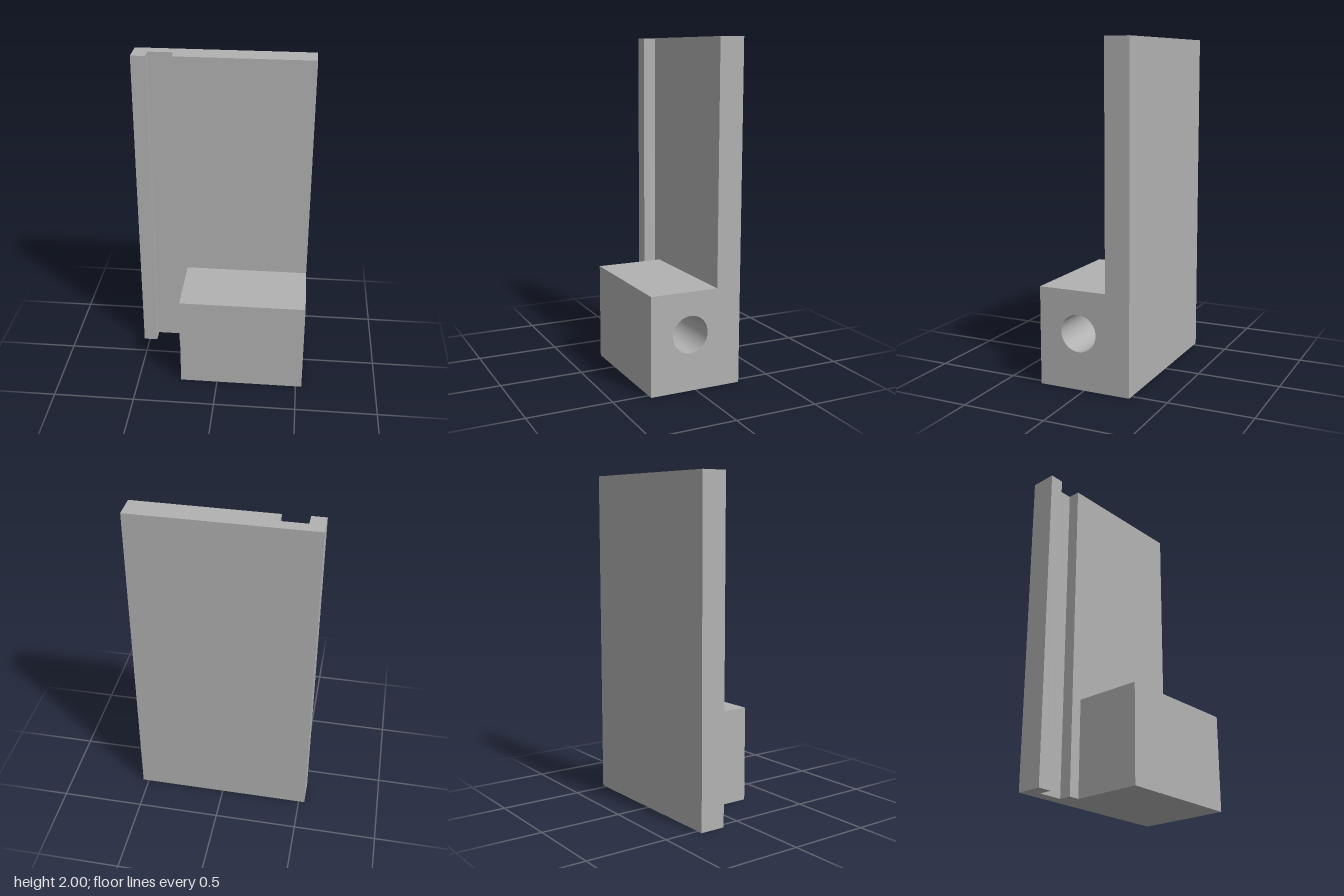
import * as THREE from 'three';

const grey = new THREE.MeshStandardMaterial({ color: 0xb2b2b2 });
grey.name = 'plainGrey';

const W = 0.537, BACK = -0.284, FRONT = 0.282, FACE = -0.135;
const HEIGHT = 2, BLOCK_H = 0.587, BLOCK_X = -0.23;
const HOLE = { y: 0.336, z: 0.035, r: 0.11, depth: 0.55 };

function part(name, geometry) {
  const mesh = new THREE.Mesh(geometry, grey);
  mesh.name = name;
  return mesh;
}

export function createModel() {
  const model = new THREE.Group();
  model.name = 'mountingBracket';

  // Upright plate: plan outline (x, z) with a groove, raised along y
  const outline = [
    [-W, BACK], [W, BACK], [W, FACE], [-0.297, FACE],
    [-0.297, -0.21], [-0.45, -0.21], [-0.45, -0.127], [-W, -0.127],
  ];
  const plan = new THREE.Shape(outline.map(([x, z]) => new THREE.Vector2(x, -z)));
  const plate = new THREE.ExtrudeGeometry(plan, { depth: HEIGHT, bevelEnabled: false });
  plate.rotateX(-Math.PI / 2);
  model.add(part('groovedPlate', plate));

  // Foot block: side outline (-z, y) with a round hole, extruded along x
  const holeEnd = W - HOLE.depth;
  const side = new THREE.Shape([
    new THREE.Vector2(-FRONT, 0), new THREE.Vector2(-FACE, 0),
    new THREE.Vector2(-FACE, BLOCK_H), new THREE.Vector2(-FRONT, BLOCK_H),
  ]);
  side.holes.push(new THREE.Path().absarc(-HOLE.z, HOLE.y, HOLE.r, 0, Math.PI * 2, true));
  const bored = new THREE.ExtrudeGeometry(side, { depth: HOLE.depth, bevelEnabled: false, curveSegments: 48 });
  bored.rotateY(Math.PI / 2).translate(holeEnd, 0, 0);
  model.add(part('boredBlock', bored));

  // Solid end of the block, closing the blind hole
  const solid = new THREE.BoxGeometry(holeEnd - BLOCK_X, BLOCK_H, FRONT - FACE);
  solid.translate((holeEnd + BLOCK_X) / 2, BLOCK_H / 2, (FRONT + FACE) / 2);
  model.add(part('solidBlockEnd', solid));

  return model;
}
